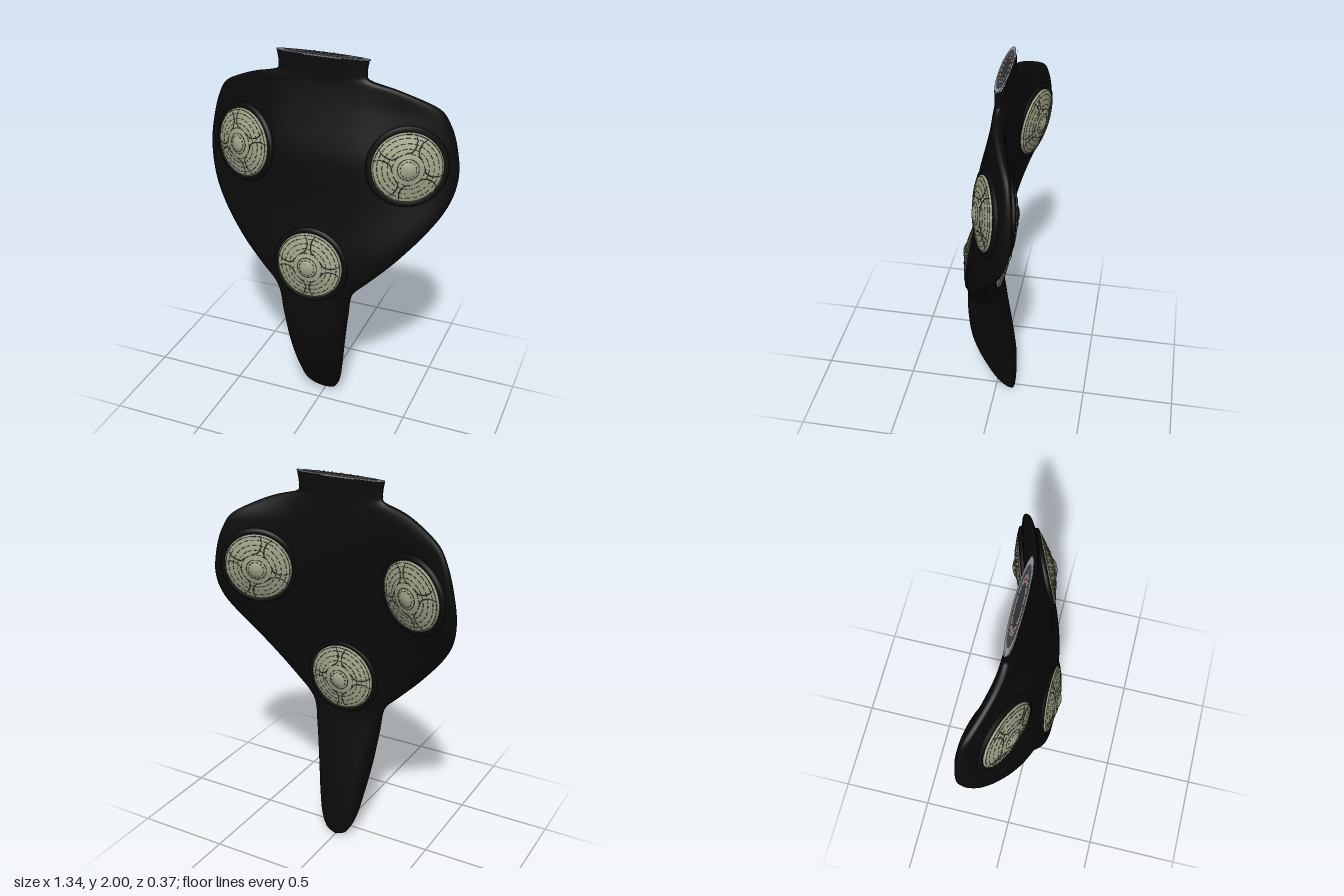
import * as THREE from 'three';
import { mergeGeometries } from 'three/addons/utils/BufferGeometryUtils.js';

const paint = (color) => new THREE.MeshStandardMaterial({ color });
const black = paint(0x0b0b0b);
const stone = paint(0x9fa187);
const groove = paint(0x3f4034);

// Body sections: height, half width, front z, back z, sweep of the wings
const SECTIONS = [
  [0, 0.004, -0.1, -0.104, 0], [0.015, 0.045, -0.085, -0.105, 0], [0.04, 0.07, -0.06, -0.106, 0],
  [0.1, 0.097, -0.01, -0.106, 0], [0.2, 0.115, 0.05, -0.105, 0], [0.4, 0.145, 0.125, -0.078, 0],
  [0.6, 0.175, 0.145, -0.042, 0], [0.74, 0.2, 0.14, -0.022, 0], [0.785, 0.228, 0.135, -0.022, 0.02],
  [0.85, 0.295, 0.13, -0.022, 0.05], [1.0, 0.44, 0.115, -0.025, 0.12], [1.2, 0.6, 0.088, -0.035, 0.25],
  [1.3, 0.65, 0.08, -0.042, 0.32], [1.4, 0.67, 0.074, -0.05, 0.36], [1.5, 0.664, 0.066, -0.06, 0.37],
  [1.7, 0.605, 0.02, -0.072, 0.33], [1.76, 0.56, 0.006, -0.074, 0.3], [1.82, 0.45, -0.006, -0.072, 0.22],
  [1.86, 0.35, -0.013, -0.07, 0.12], [1.89, 0.24, -0.016, -0.069, 0], [1.92, 0.228, -0.016, -0.068, 0],
  [1.99, 0.236, -0.016, -0.068, 0],
];
const sections = new THREE.CubicInterpolant(
  SECTIONS.map((s) => s[0]), SECTIONS.flatMap((s) => s.slice(1)), 4, new Float32Array(4));

// Depth of the shell at x, y; side is 1 for the front and -1 for the back
function surfaceZ(x, y, side) {
  const [w, front, back, sweep] = sections.evaluate(y);
  const d = Math.abs(x) - 0.24;
  const drop = sweep * (d + Math.sqrt(d * d + 0.005)) / 2;
  const edge = THREE.MathUtils.lerp(back, front, 0.4) - drop;
  const u = Math.min(1, Math.abs(x) / w);
  const bulge = Math.pow(1 - u ** 3, 1 / 3);
  return edge + ((side > 0 ? front : back) - drop - edge) * bulge;
}

function bodyGeometry() {
  const rows = 140, around = 72, pos = [], index = [];
  for (let i = 0; i <= rows; i++) {
    const y = 0.995 * (1 - Math.cos(Math.PI * i / rows));
    const w = sections.evaluate(Math.min(y, 1.99))[0];
    for (let j = 0; j < around; j++) {
      const a = 2 * Math.PI * j / around, x = w * Math.cos(a);
      pos.push(x, y, surfaceZ(x, Math.min(y, 1.99), Math.sin(a) >= 0 ? 1 : -1));
      if (i === rows) continue;
      const p = i * around + j, q = i * around + (j + 1) % around;
      index.push(p, p + around, q, q, p + around, q + around);
    }
  }
  const g = new THREE.BufferGeometry();
  g.setAttribute('position', new THREE.Float32BufferAttribute(pos, 3));
  g.setIndex(index);
  g.computeVertexNormals();
  return g;
}

// Medallion profile, from the hidden skirt up to the hub
const PROFILE = [[0.176, -0.035], [0.176, 0.004], [0.168, 0.01], [0.12, 0.022], [0.075, 0.033],
  [0.05, 0.036], [0.03, 0.046], [0.015, 0.05], [0, 0.051]].map((p) => new THREE.Vector2(...p));
function discHeight(r) {
  for (let i = 1; i < PROFILE.length; i++) {
    const a = PROFILE[i - 1], b = PROFILE[i];
    if (r <= a.x && r >= b.x && a.x > b.x) return THREE.MathUtils.mapLinear(r, a.x, b.x, a.y, b.y);
  }
  return 0;
}

// Engraved pattern: broken rings and four pairs of curved bands
function patternGeometry() {
  const parts = [];
  const rings = [[0.04, 12, 0.6], [0.052, 1, 1], [0.078, 16, 0.7], [0.1, 20, 0.75],
    [0.125, 24, 0.7], [0.15, 28, 0.75], [0.168, 1, 1]];
  rings.forEach(([r, count, fill], k) => {
    const step = 2 * Math.PI / count;
    for (let i = 0; i < count; i++) {
      const arc = new THREE.TorusGeometry(r, 0.0016, 3, count === 1 ? 40 : 3, step * fill);
      arc.rotateX(-Math.PI / 2).rotateY(step * (i + k * 0.5)).translate(0, discHeight(r), 0);
      parts.push(arc);
    }
  });
  for (let q = 0; q < 4; q++) for (const s of [-1, 1]) {
    const path = [[0.168, 0.032], [0.14, 0.014], [0.11, 0.01], [0.085, 0.018], [0.07, 0.04]]
      .map(([r, off]) => new THREE.Vector3(r, discHeight(Math.hypot(r, off)), s * off));
    parts.push(new THREE.TubeGeometry(new THREE.CatmullRomCurve3(path), 10, 0.0025, 4)
      .rotateY(q * Math.PI / 2));
  }
  return mergeGeometries(parts);
}

export function createModel() {
  const model = new THREE.Group();
  const add = (parent, name, geometry, material) => {
    const mesh = new THREE.Mesh(geometry, material);
    mesh.name = name;
    parent.add(mesh);
    return mesh;
  };
  add(model, 'body', bodyGeometry(), black);

  // Medallions set into the shell, three on each face
  const disc = new THREE.LatheGeometry(PROFILE, 48);
  const pattern = patternGeometry();
  const socket = new THREE.TorusGeometry(0.186, 0.018, 8, 48).rotateX(Math.PI / 2);
  const spots = [
    ['frontRight', -0.412, 1.49, 1], ['frontLeft', 0.45, 1.49, 1], ['frontLower', 0, 0.928, 1],
    ['backRight', -0.43, 1.49, -1], ['backLeft', 0.43, 1.49, -1], ['backLower', 0, 0.93, -1],
  ];
  for (const [name, x, y, side] of spots) {
    const g = new THREE.Group();
    g.name = name + 'Medallion';
    const e = 0.06;
    const dx = (surfaceZ(x + e, y, side) - surfaceZ(x - e, y, side)) / (2 * e);
    const dy = (surfaceZ(x, y + e, side) - surfaceZ(x, y - e, side)) / (2 * e);
    const normal = new THREE.Vector3(-dx, -dy, 1).multiplyScalar(side).normalize();
    g.quaternion.setFromUnitVectors(new THREE.Vector3(0, 1, 0), normal);
    g.position.set(x, y, surfaceZ(x, y, side)).addScaledVector(normal, 0.004);
    add(g, 'disc', disc, stone);
    add(g, 'pattern', pattern, groove);
    add(g, 'socket', socket, black).position.y = -0.014;
    model.add(g);
  }

  // Oval plate on top of the neck, with nested rings and red marks
  const plate = new THREE.Group();
  plate.name = 'neckPlate';
  plate.position.set(0.004, 1.987, -0.042);
  plate.scale.set(1, 1, 0.115);
  [[0.24, 0x858b92], [0.2, 0x3a3c40], [0.15, 0x777c82], [0.11, 0x2c2d30]].forEach(([r, color], i) => {
    const h = 0.006 + i * 0.0015;
    add(plate, 'plateRing', new THREE.CylinderGeometry(r, r, h, 48), paint(color)).position.y = h / 2;
  });
  const red = paint(0xa8402c);
  for (let i = 0; i < 16; i++) {
    const a = i * Math.PI / 8;
    add(plate, 'redMark', new THREE.BoxGeometry(0.008, 0.003, 0.04), red)
      .position.set(0.13 * Math.cos(a), 0.0105, 0.13 * Math.sin(a));
  }
  model.add(plate);
  return model;
}
